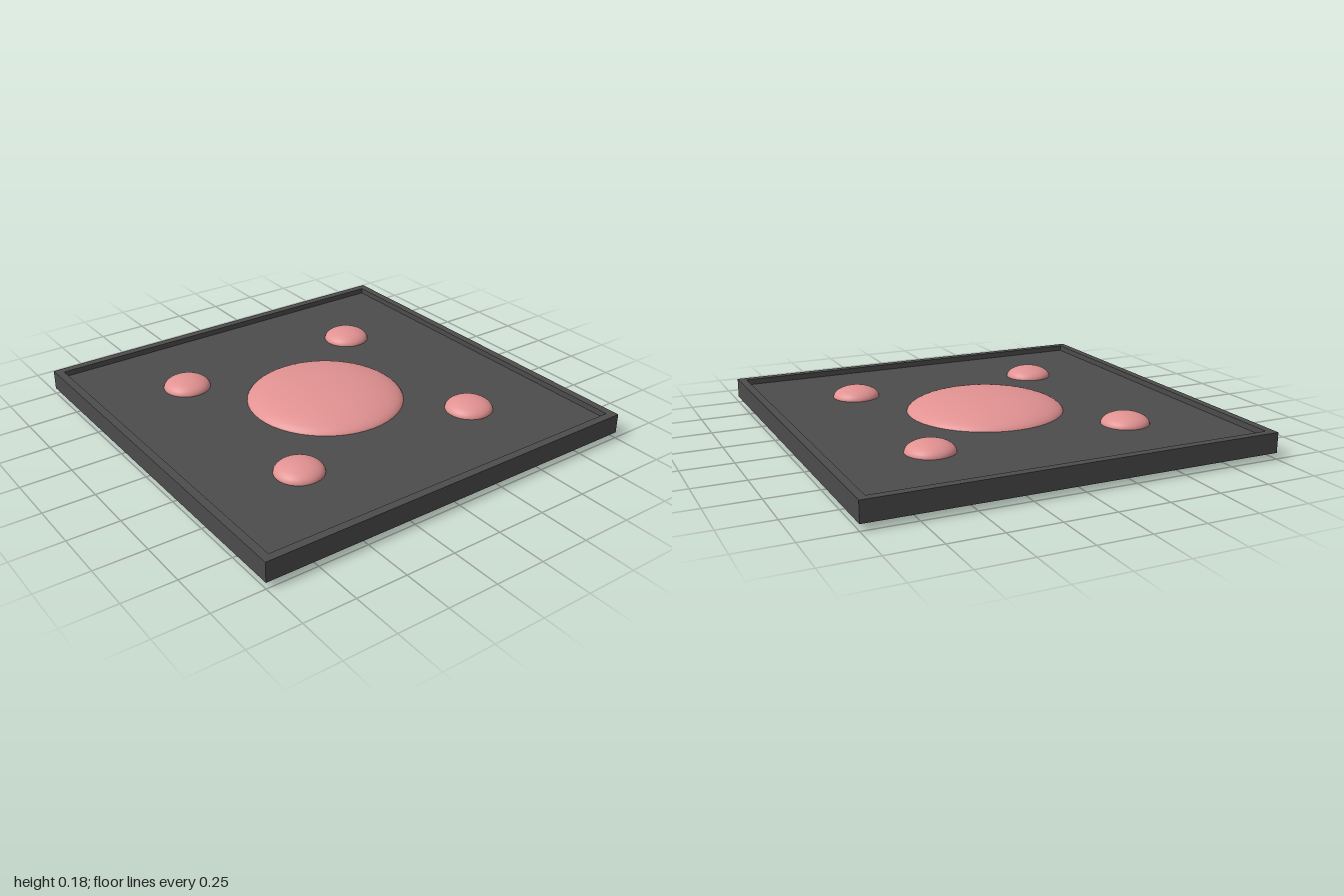
import * as THREE from 'three';

export function createModel() {
  const model = new THREE.Group();
  const gray = new THREE.MeshStandardMaterial({ color: 0x4c4c4c });
  gray.name = 'darkGray';
  const pink = new THREE.MeshStandardMaterial({ color: 0xe29292 });
  pink.name = 'pink';

  const add = (name, geometry, material, x, y, z) => {
    const mesh = new THREE.Mesh(geometry, material);
    mesh.name = name;
    mesh.position.set(x, y, z);
    model.add(mesh);
    return mesh;
  };

  // Square outline, used for the tray rim and its opening
  const square = (path, h) =>
    path.moveTo(-h, -h).lineTo(h, -h).lineTo(h, h).lineTo(-h, h).closePath();

  // Tray: floor slab inside a thin raised rim
  const bottom = 0.03, floor = 0.1, top = 0.128, inner = 0.96;
  add('trayFloor', new THREE.BoxGeometry(inner * 2, floor - bottom, inner * 2), gray,
    0, (floor + bottom) / 2, 0);
  const outline = square(new THREE.Shape(), 1);
  outline.holes.push(square(new THREE.Path(), inner));
  const rim = new THREE.ExtrudeGeometry(outline, { depth: top - bottom, bevelEnabled: false });
  rim.rotateX(-Math.PI / 2);
  add('trayRim', rim, gray, 0, bottom, 0);

  // Flattened domes set into the tray
  const dome = (name, radius, height, x, y, z) =>
    add(name, new THREE.SphereGeometry(1, 48, 32).scale(radius, height, radius), pink, x, y, z);
  dome('centerDome', 0.39, 0.09, 0, 0.09, 0);
  for (const x of [-0.5, 0.5])
    for (const z of [-0.5, 0.5])
      dome('cornerDome', 0.117, 0.055, x, 0.1, z);

  return model;
}
